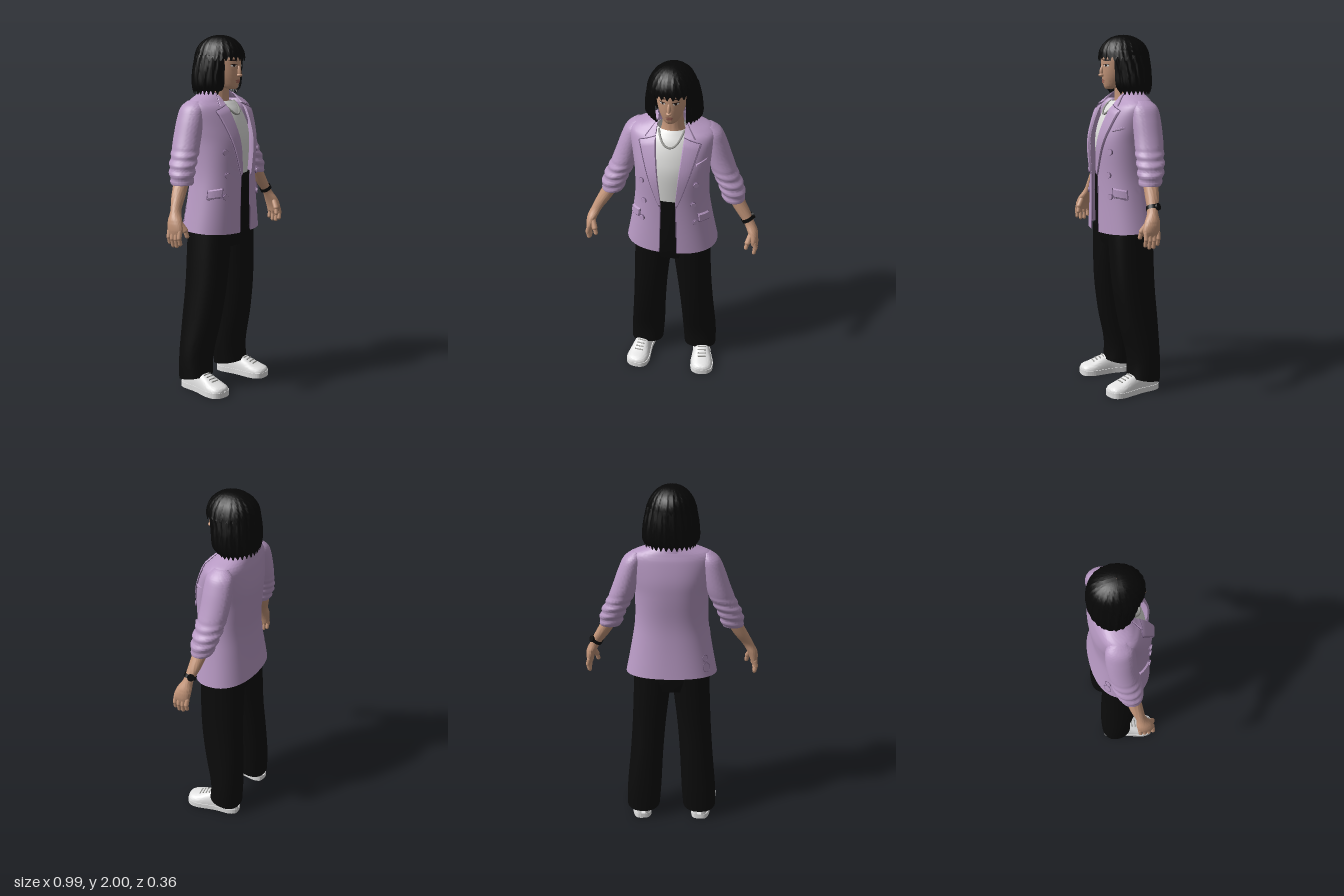
import * as THREE from 'three';
import { toCreasedNormals } from 'three/addons/utils/BufferGeometryUtils.js';

const V = (x, y, z) => new THREE.Vector3(x, y, z);
const paint = (name, color) => {
  const m = new THREE.MeshStandardMaterial({ color, side: THREE.DoubleSide });
  m.name = name;
  return m;
};

// Smooth interpolation of cross-section rows [y, cx, cz, rx, rz, frontGap]
function rowAt(rows, t) {
  const n = rows.length - 1, i = Math.min(Math.floor(t), n - 1), f = t - i;
  const q = k => rows[Math.max(0, Math.min(n, k))];
  return rows[0].map((_, c) => {
    const [a, b, d, e] = [q(i - 1)[c], q(i)[c], q(i + 1)[c], q(i + 2)[c]];
    return b + 0.5 * f * (d - a + f * (2 * a - 5 * b + 4 * d - e + f * (3 * (b - d) + e - a)));
  });
}
function rowAtY(rows, y) {
  let lo = 0, hi = rows.length - 1;
  for (let k = 0; k < 30; k++) {
    const m = (lo + hi) / 2;
    if (rowAt(rows, m)[0] < y) lo = m; else hi = m;
  }
  return rowAt(rows, lo);
}
const pow = (v, p) => Math.sign(v) * Math.abs(v) ** (2 / p);
const ringPoint = (r, a, p = 2, k = 1, off = 0) =>
  V(r[1] + (r[3] * k + off) * pow(Math.sin(a), p), r[0], r[2] + (r[4] * k + off) * pow(Math.cos(a), p));
function frontZ(rows, x, y, p = 2) {
  const r = rowAtY(rows, y);
  return r[2] + r[4] * Math.max(0, 1 - (Math.abs(x - r[1]) / r[3]) ** p) ** (1 / p);
}

// Surface grid from a function of (u, v)
function grid(fn, nu, nv, crease = 1) {
  const pos = [], idx = [];
  for (let j = 0; j <= nv; j++) for (let i = 0; i <= nu; i++) pos.push(...fn(i / nu, j / nv).toArray());
  for (let j = 0; j < nv; j++) for (let i = 0; i < nu; i++) {
    const a = j * (nu + 1) + i, b = a + 1, c = a + nu + 1, d = c + 1;
    idx.push(a, b, c, b, d, c);
  }
  const g = new THREE.BufferGeometry();
  g.setAttribute('position', new THREE.Float32BufferAttribute(pos, 3));
  g.setIndex(idx);
  return toCreasedNormals(g, crease);
}
// Stack of superellipse rings, optionally open at the front and capped at both ends
function loft(rows, { p = 2, ripple = () => 1, hem = () => 0, caps = false, nu = 48, sub = 5 } = {}) {
  const nv = (rows.length - 1) * sub, total = caps ? nv + 2 : nv;
  return grid((u, v) => {
    let j = Math.round(v * total), k = 1;
    if (caps) { if (j === 0 || j === total) k = 0; j = Math.max(0, Math.min(nv, j - 1)); }
    const r = rowAt(rows, j / sub);
    const a0 = r[5] ? Math.asin(Math.min(1, (r[5] / r[3]) ** (p / 2))) : 0;
    const a = a0 + u * (2 * Math.PI - 2 * a0);
    const q = ringPoint(r, a, p, k * ripple(a, r[0]));
    q.y += hem(a, j / nv);
    return q;
  }, nu, total);
}

const JACKET = [[0.915, 0, -0.005, 0.258, 0.172, 0.05], [1.1, 0, 0.005, 0.224, 0.16, 0.045],
  [1.24, 0, 0.01, 0.205, 0.157, 0.042], [1.4, 0, 0.007, 0.205, 0.165, 0.055], [1.5, 0, -0.005, 0.218, 0.155, 0.065],
  [1.6, 0, -0.02, 0.232, 0.125, 0.075], [1.64, 0, -0.033, 0.21, 0.1, 0.077], [1.667, 0, -0.04, 0.15, 0.083, 0.077],
  [1.69, 0, -0.045, 0.09, 0.067, 0.075]];
const SHIRT = [[1.21, 0, 0, 0.17, 0.13], [1.4, 0, 0, 0.18, 0.143], [1.5, 0, -0.005, 0.18, 0.133],
  [1.58, 0, -0.015, 0.15, 0.113], [1.62, 0, -0.02, 0.115, 0.09], [1.64, 0, -0.02, 0.085, 0.072]];
const HEAD = [[1.705, 0, 0.075, 0.018, 0.02], [1.715, 0, 0.058, 0.038, 0.045], [1.74, 0, 0.035, 0.056, 0.075],
  [1.78, 0, 0.02, 0.072, 0.096], [1.83, 0, 0.01, 0.082, 0.108], [1.88, 0, 0, 0.085, 0.115], [1.94, 0, -0.01, 0.07, 0.09]];
const JP = 2.3;

export function createModel() {
  const mat = {
    lilac: paint('lilac cloth', 0xb799c3), seam: paint('lilac seam', 0x7c6488), black: paint('black cloth', 0x0b0b0b),
    hair: paint('black hair', 0x070707), skin: paint('skin', 0xc4967a), white: paint('white cotton', 0xdcdcda),
    shoe: paint('white leather', 0xe2e2e2), lips: paint('lips', 0xa5695c), silver: paint('silver', 0x9c9c98),
    dark: paint('dark brown', 0x2a1c18),
  };
  const model = new THREE.Group();
  const add = (name, geo, m, parent = model) => {
    const mesh = new THREE.Mesh(geo, m);
    mesh.name = name;
    parent.add(mesh);
    return mesh;
  };
  const trace = (name, pts, r, m, parent, closed = false) =>
    add(name, new THREE.TubeGeometry(new THREE.CatmullRomCurve3(pts, closed), 40, r, 6, closed), m, parent);
  const capsule = (name, a, b, r, m, parent) => {
    const mesh = add(name, new THREE.CapsuleGeometry(r, a.distanceTo(b), 5, 10), m, parent);
    mesh.position.copy(a).lerp(b, 0.5);
    mesh.quaternion.setFromUnitVectors(V(0, 1, 0), b.clone().sub(a).normalize());
    return mesh;
  };
  const steps = (n, fn) => Array.from({ length: n + 1 }, (_, i) => fn(i / n));

  // Torso clothing
  add('jacketBody', loft(JACKET, { p: JP, nu: 72, hem: (a, v) => 0.025 * (1 - v) ** 6 * (1 - Math.cos(a)) / 2 }), mat.lilac);
  add('jacketCollar', loft([[1.655, 0, -0.04, 0.125, 0.09, 0.08], [1.685, 0, -0.042, 0.1, 0.08, 0.077],
    [1.705, 0, -0.043, 0.085, 0.07, 0.075]]), mat.lilac);
  add('shirt', loft(SHIRT), mat.white);
  add('trouserWaist', loft([[0.83, 0, -0.005, 0.19, 0.11], [0.92, 0, -0.003, 0.212, 0.127],
    [1.1, 0, 0, 0.195, 0.135], [1.24, 0, 0, 0.175, 0.138]], { p: 2.3, caps: true }), mat.black);
  trace('necklace', steps(16, t => {
    const x = -0.068 + 0.136 * t, y = 1.568 + 0.07 * Math.abs(2 * t - 1) ** 2.2;
    return V(x, y, frontZ(SHIRT, x, y) + 0.005);
  }), 0.006, mat.silver);

  // Small stitched loops near the back hem
  for (const [dy, r] of [[0, 0.026], [0.052, 0.02]])
    trace('hemStitch', steps(11, t => {
      const c = t * 11 / 12 * 2 * Math.PI;
      return ringPoint(rowAtY(JACKET, 0.99 + dy + r * Math.sin(c)), -2.25 + 0.13 * r / 0.026 * Math.cos(c), JP, 1, 0.002);
    }), 0.002, mat.seam, model, true);

  // Head and neck
  add('head', loft(HEAD, { caps: true }), mat.skin);
  add('neck', loft([[1.6, 0, -0.015, 0.072, 0.062], [1.65, 0, -0.018, 0.058, 0.056], [1.77, 0, -0.015, 0.052, 0.055]]), mat.skin);
  const nose = add('noseBridge', new THREE.SphereGeometry(1, 16, 12), mat.skin);
  nose.scale.set(0.01, 0.034, 0.014);
  nose.position.set(0, 1.803, 0.119);
  nose.rotation.x = -0.2;
  const tip = add('noseTip', new THREE.SphereGeometry(1, 16, 12), mat.skin);
  tip.scale.set(0.015, 0.01, 0.017);
  tip.position.set(0, 1.781, 0.122);
  // Thin oval laid on the face
  const decal = (name, x, y, w, h, m, off, parent) => add(name, grid((u, v) => {
    const a = u * 2 * Math.PI, px = x + w * v * Math.cos(a), py = y + h * v * Math.sin(a);
    return V(px, py, frontZ(HEAD, px, py) + off);
  }, 20, 3), m, parent);
  decal('upperLip', 0, 1.752, 0.021, 0.005, mat.lips, 0.004);
  decal('lowerLip', 0, 1.743, 0.018, 0.006, mat.lips, 0.005);

  // Bob haircut with a fringe
  const strands = (a, y) => 1 + 0.016 * Math.sin(a * 23 + y * 8) + 0.01 * Math.sin(a * 41);
  const ends = (a, v) => (1 - v) ** 8 * 0.012 * Math.sin(a * 29);
  add('hairBob', loft([[1.685, 0.004, -0.047, 0.132, 0.106, 0.075], [1.72, 0.004, -0.037, 0.152, 0.124, 0.077],
    [1.8, 0.002, -0.032, 0.148, 0.131, 0.08], [1.89, 0, -0.018, 0.13, 0.135, 0.085]],
  { ripple: strands, hem: ends, nu: 160 }), mat.hair);
  add('hairCap', loft([[1.868, 0, -0.013, 0.135, 0.143], [1.91, 0, -0.012, 0.122, 0.138], [1.95, 0, -0.012, 0.1, 0.116],
    [1.98, 0, -0.01, 0.066, 0.078], [1.994, 0, -0.01, 0.034, 0.04], [1.999, 0, -0.01, 0.001, 0.001]],
  { ripple: (a, y) => 1 + (strands(a, y) - 1) * 0.7, hem: ends, nu: 160 }), mat.hair);

  // Everything paired is built for the left side, then mirrored
  const side = new THREE.Group();
  side.name = 'leftSide';

  for (const [name, x, y, w, h, m, off] of [['eyeWhite', 0.035, 1.833, 0.015, 0.006, mat.white, 0.002],
    ['iris', 0.034, 1.833, 0.006, 0.006, mat.dark, 0.003], ['lash', 0.035, 1.84, 0.018, 0.0025, mat.dark, 0.004],
    ['brow', 0.037, 1.862, 0.022, 0.004, mat.dark, 0.003]]) decal(name, x, y, w, h, m, off, side);

  // Lapel and collar leaf, raised from the jacket front with closed edges
  const leaf = (name, at) => {
    const raised = (u, v, off) => {
      const [x, y] = at(u, v);
      return V(x, y, frontZ(JACKET, x, y, JP) + off);
    };
    add(name, grid((u, v) => raised(u, v, u === 0 || u === 1 || v === 0 || v === 1 ? 0.001 : 0.012), 14, 24, 0.6), mat.lilac, side);
    const edge = [...steps(14, t => raised(1, t, 0.006)), ...steps(8, t => raised(1 - t, 1, 0.006)).slice(1)];
    trace(name + 'Seam', edge, 0.0025, mat.seam, side);
  };
  leaf('lapel', (u, v) => {
    const y = 1.23 + 0.365 * v + 0.03 * (1 - u) * v ** 4;
    const inner = rowAtY(JACKET, y)[5] - 0.002, outer = 0.046 + 0.12 * v ** 0.9;
    return [inner + (outer - inner) * u, y];
  });
  leaf('collarLeaf', (u, v) => {
    const y = 1.628 - 0.012 * u + 0.06 * v;
    return [0.074 + (0.06 - 0.05 * v) * u, y];
  });
  trace('frontEdgeSeam', steps(10, t => {
    const y = 0.92 + 0.31 * t, x = rowAtY(JACKET, y)[5];
    return V(x, y, frontZ(JACKET, x, y, JP));
  }), 0.003, mat.seam, side);

  // Buttons and pocket flap
  for (const [x, y] of [[0.147, 1.37], [0.135, 1.243], [0.148, 1.125]]) {
    const z = frontZ(JACKET, x, y, JP);
    for (const [n, r, h, m] of [['buttonRim', 0.0165, 0.008, mat.seam], ['button', 0.0145, 0.016, mat.lilac]]) {
      const b = add(n, new THREE.CylinderGeometry(r, r, h, 18), m, side);
      b.position.set(x, y, z + 0.003);
      b.rotation.set(Math.PI / 2, 0, -0.5);
    }
  }
  const flap = (u, v, off) => ringPoint(rowAtY(JACKET, 1.125 + 0.05 * v - 0.012 * u), 0.78 + 0.5 * u, JP, 1, off);
  add('pocketFlap', grid((u, v) => flap(u, v, u === 0 || u === 1 || v === 0 || v === 1 ? 0.001 : 0.01), 16, 8, 0.6), mat.lilac, side);
  trace('pocketSeam', [flap(0, 1, 0.003), flap(0, 0.5, 0.003), flap(0.02, 0, 0.003), flap(0.5, 0, 0.003),
    flap(0.98, 0, 0.003), flap(1, 0.5, 0.003), flap(1, 1, 0.003)], 0.0025, mat.seam, side);

  // Pushed-up sleeve with folds
  const folds = (a, y) => 1 + 0.055 * Math.sin(y * 125 + 1.6 * Math.sin(a + 0.6)) * THREE.MathUtils.smoothstep(1.42 - y, 0, 0.08);
  add('sleeve', loft([[1.205, 0.34, -0.01, 0.058, 0.056], [1.24, 0.337, -0.014, 0.066, 0.065], [1.3, 0.318, -0.025, 0.069, 0.074],
    [1.37, 0.284, -0.035, 0.07, 0.078], [1.45, 0.254, -0.043, 0.069, 0.08], [1.55, 0.224, -0.045, 0.063, 0.079],
    [1.61, 0.206, -0.045, 0.052, 0.07], [1.645, 0.19, -0.045, 0.025, 0.04]],
  { ripple: folds, sub: 10, caps: true }), mat.lilac, side);

  // Forearm, palm and fingers
  add('forearmAndPalm', loft([[0.955, 0.47, 0.045, 0.017, 0.04], [0.985, 0.469, 0.044, 0.023, 0.048], [1.03, 0.458, 0.034, 0.029, 0.043],
    [1.08, 0.433, 0.02, 0.031, 0.028], [1.15, 0.39, 0.003, 0.04, 0.036], [1.24, 0.338, -0.012, 0.044, 0.042]], { caps: true }), mat.skin, side);
  [[0.008, 0.915], [0.032, 0.9], [0.056, 0.899], [0.079, 0.912]].forEach(([z, y]) => {
    const knuckle = V(0.482, (y + 0.975) / 2, z + 0.002);
    capsule('fingerBase', V(0.474, 0.975, z), knuckle, 0.0125, mat.skin, side);
    capsule('fingerTip', knuckle, V(0.475, y, z + 0.003), 0.011, mat.skin, side);
  });
  capsule('thumbBase', V(0.452, 1.02, 0.06), V(0.437, 0.98, 0.085), 0.016, mat.skin, side);
  capsule('thumbTip', V(0.437, 0.98, 0.085), V(0.43, 0.948, 0.092), 0.012, mat.skin, side);

  // Wide trouser leg
  add('trouserLeg', loft([[0.07, 0.167, -0.058, 0.097, 0.092], [0.2, 0.16, -0.06, 0.1, 0.092], [0.4, 0.146, -0.034, 0.096, 0.112],
    [0.6, 0.131, -0.013, 0.097, 0.121], [0.8, 0.115, -0.006, 0.104, 0.125], [0.93, 0.107, -0.004, 0.107, 0.125]],
  { p: 2.3, caps: true, hem: (a, v) => (1 - v) ** 10 * 0.018 * Math.cos(a) }), mat.black, side);

  // Sneaker, toes turned outward
  const shoe = new THREE.Group();
  shoe.name = 'shoe';
  shoe.position.set(0.187, 0, 0.015);
  shoe.rotation.y = 0.13;
  side.add(shoe);
  // Rows: z, half width, height
  const last = [[-0.16, 0.012, 0.07], [-0.15, 0.034, 0.09], [-0.11, 0.049, 0.105], [-0.03, 0.05, 0.115], [0.03, 0.058, 0.1],
    [0.09, 0.066, 0.074], [0.135, 0.058, 0.06], [0.156, 0.036, 0.05], [0.163, 0.01, 0.036]];
  add('shoeUpper', grid((u, v) => {
    const [z, w, h] = rowAt(last, v * (last.length - 1)), a = u * Math.PI;
    return V(w * pow(Math.cos(a), 2.6), 0.02 + (h - 0.02) * Math.sin(a) ** 0.8, z);
  }, 24, 40), mat.shoe, shoe);
  const outline = [...last.map(([z, w]) => new THREE.Vector2(w + 0.004, -z)),
    ...last.slice().reverse().map(([z, w]) => new THREE.Vector2(-w - 0.004, -z))];
  const soleShape = new THREE.Shape(new THREE.SplineCurve([...outline, outline[0]]).getPoints(70));
  const sole = add('shoeSole', new THREE.ExtrudeGeometry(soleShape, { depth: 0.03, bevelEnabled: false }), mat.shoe, shoe);
  sole.rotation.x = -Math.PI / 2;
  for (let i = 0; i < 4; i++) {
    const z = 0.025 + i * 0.02, h = 0.104 - i * 0.0085;
    capsule('lace', V(-0.022, h - 0.003, z), V(0.022, h - 0.003, z), 0.004, mat.silver, shoe);
  }

  const other = side.clone();
  other.name = 'rightSide';
  other.scale.x = -1;
  model.add(side, other);

  // Breast pocket on the left chest
  add('breastPocket', grid((u, v) => {
    const x = 0.145 + 0.055 * u, y = 1.478 + 0.014 * v + 0.018 * u;
    return V(x, y, frontZ(JACKET, x, y, JP) + (u === 0 || u === 1 || v === 0 || v === 1 ? 0.001 : 0.008));
  }, 10, 5, 0.6), mat.lilac);

  // Wristwatch on the left wrist
  const watch = new THREE.Group();
  watch.name = 'watch';
  watch.position.set(0.424, 1.096, 0.016);
  watch.quaternion.setFromUnitVectors(V(0, 1, 0), V(-0.5, 0.85, -0.15).normalize());
  model.add(watch);
  add('watchStrap', new THREE.CylinderGeometry(0.034, 0.034, 0.022, 28, 1, true), mat.black, watch);
  const dial = add('watchCase', new THREE.CylinderGeometry(0.019, 0.019, 0.012, 24), mat.black, watch);
  dial.position.set(0.03, 0, -0.018);
  dial.rotation.set(0, 0.54, -Math.PI / 2);
  return model;
}
